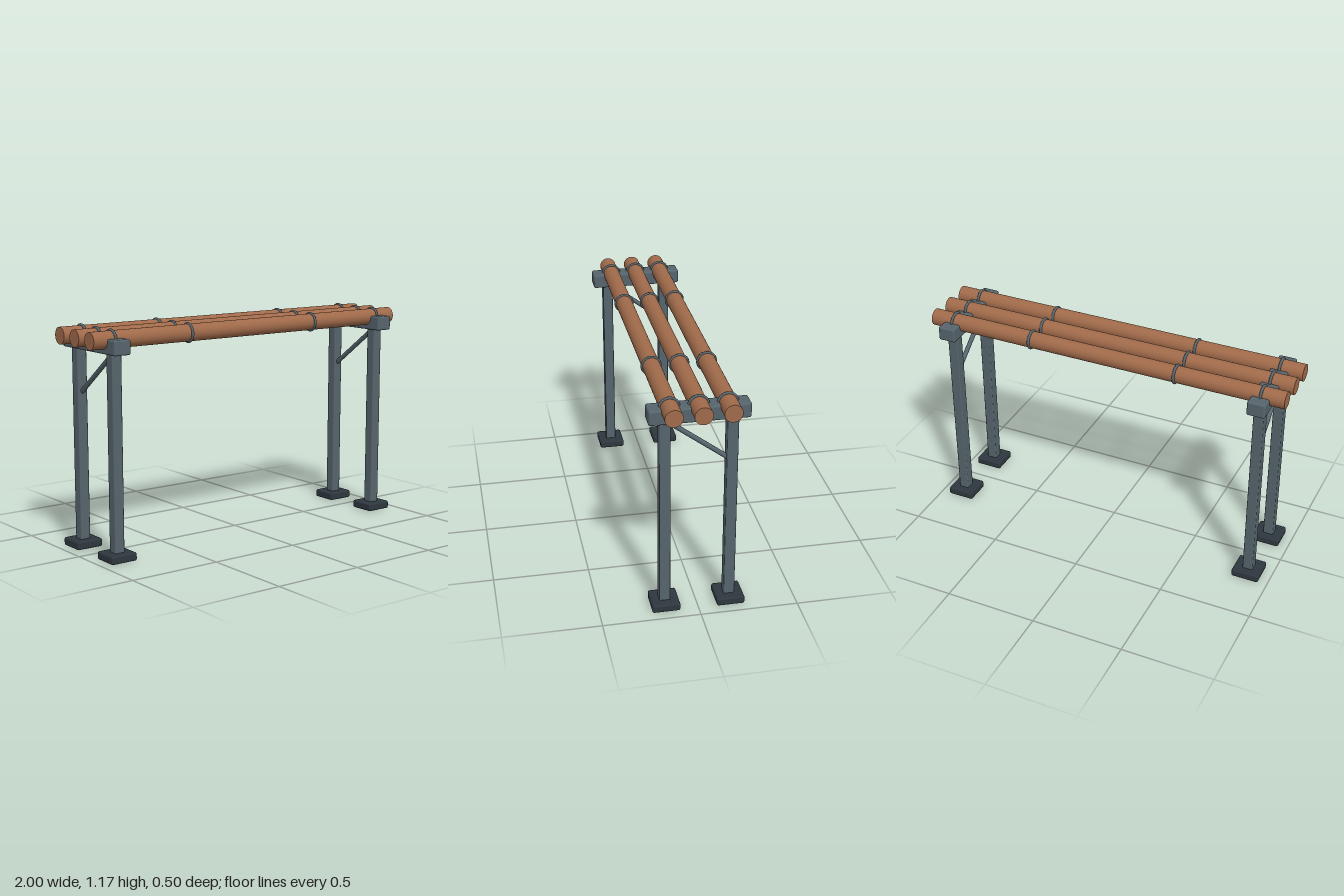
import * as THREE from 'three';
import { RoundedBoxGeometry } from 'three/addons/geometries/RoundedBoxGeometry.js';

export function createModel() {
  const model = new THREE.Group();
  model.name = 'pipeRack';

  const copper = new THREE.MeshStandardMaterial({ color: 0xa06a4a });
  const steel = new THREE.MeshStandardMaterial({ color: 0x56646c });
  const darkSteel = new THREE.MeshStandardMaterial({ color: 0x2e373e });

  const PIPE_Y = 1.12, PIPE_R = 0.045, FRAME_X = 0.875, LEG_Z = 0.166;

  function add(parent, name, geometry, material, x, y, z) {
    const mesh = new THREE.Mesh(geometry, material);
    mesh.name = name;
    mesh.position.set(x, y, z);
    parent.add(mesh);
    return mesh;
  }

  // Support frames: feet, legs, cross beam and diagonal brace
  const footGeo = new RoundedBoxGeometry(0.15, 0.043, 0.143, 3, 0.01);
  const legGeo = new RoundedBoxGeometry(0.056, 1.04, 0.056, 2, 0.006);
  const beamGeo = new RoundedBoxGeometry(0.096, 0.078, 0.498, 3, 0.01);
  const braceTop = new THREE.Vector3(0, 1.045, 0.15);
  const braceLow = new THREE.Vector3(0, 0.82, -0.15);
  const braceDir = braceTop.clone().sub(braceLow);
  const braceGeo = new THREE.CylinderGeometry(0.0125, 0.0125, braceDir.length(), 16);

  for (const side of [1, -1]) {
    const frame = new THREE.Group();
    frame.name = side > 0 ? 'leftFrame' : 'rightFrame';
    frame.position.x = side * FRAME_X;
    for (const end of [1, -1]) {
      const place = end > 0 ? 'front' : 'back';
      add(frame, place + 'Foot', footGeo, darkSteel, 0, 0.0215, end * LEG_Z);
      add(frame, place + 'Leg', legGeo, steel, 0, 0.55, end * LEG_Z);
    }
    add(frame, 'crossBeam', beamGeo, steel, 0, 1.089, 0);
    const brace = add(frame, 'brace', braceGeo, steel, 0, 0, 0);
    brace.position.copy(braceTop).add(braceLow).multiplyScalar(0.5);
    brace.quaternion.setFromUnitVectors(new THREE.Vector3(0, 1, 0), braceDir.normalize());
    model.add(frame);
  }

  // Pipes with half-ring clamps on the beams and full bands between them
  const pipeGeo = new THREE.CylinderGeometry(PIPE_R, PIPE_R, 2, 40).rotateZ(Math.PI / 2);
  const clampGeo = new THREE.TorusGeometry(0.047, 0.0075, 10, 24, Math.PI).rotateY(Math.PI / 2);
  const bandGeo = new THREE.TorusGeometry(0.046, 0.0075, 10, 40).rotateY(Math.PI / 2);

  for (const z of [-0.142, 0, 0.142]) {
    add(model, 'pipe', pipeGeo, copper, 0, PIPE_Y, z);
    for (const side of [1, -1]) {
      add(model, 'pipeClamp', clampGeo, steel, side * FRAME_X, PIPE_Y, z);
      add(model, 'pipeBand', bandGeo, steel, side * 0.412, PIPE_Y, z);
    }
  }
  return model;
}
